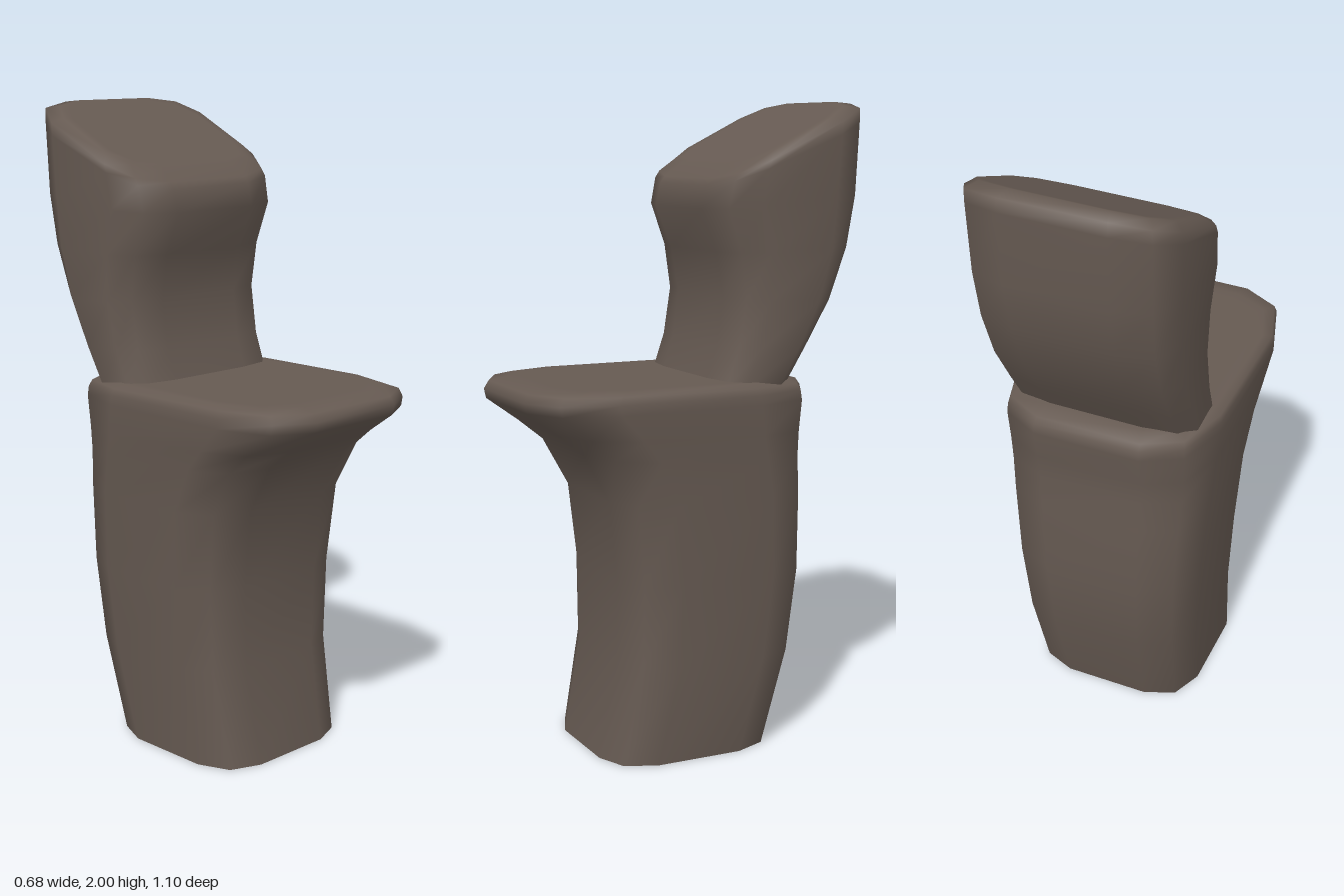
import * as THREE from 'three';

// One quarter of the chamfered section: [fraction of half width, fraction of half depth]
const CORNER = [[1, 0.5], [0.85, 0.86], [0.5, 1]];

// Twelve-sided outline, counter-clockwise seen from above
function outline() {
  const [a, b, c] = CORNER;
  const flip = (p, sx, sz) => [p[0] * sx, p[1] * sz];
  return [
    ...[c, b, a].map(p => flip(p, 1, 1)),
    ...[a, b, c].map(p => flip(p, 1, -1)),
    ...[c, b, a].map(p => flip(p, -1, -1)),
    ...[a, b, c].map(p => flip(p, -1, 1)),
  ];
}

// Skin through tilted rings: [halfWidth, frontZ, frontY, backZ, backY]
function loft(rings, material, name) {
  const section = outline(), n = section.length;
  const pos = [], index = [];
  const addRing = ([w, fz, fy, bz, by], scale = 1) => {
    for (const [u, v] of section) {
      const t = (1 - v * scale) / 2;
      pos.push(u * w * scale, fy + (by - fy) * t, fz + (bz - fz) * t);
    }
  };
  const first = rings[0], last = rings[rings.length - 1];
  rings.forEach(r => addRing(r));
  addRing(last, 0.9); // inner ring keeps the top face flat
  for (let r = 0; r < rings.length; r++) {
    for (let i = 0; i < n; i++) {
      const a = r * n + i, b = r * n + (i + 1) % n;
      index.push(a, b, b + n, a, b + n, a + n);
    }
  }
  // Top cap shares its rim, bottom cap has its own sharp rim
  const cap = (start, up) => {
    for (let i = 1; i < n - 1; i++) {
      if (up) index.push(start, start + i, start + i + 1);
      else index.push(start, start + i + 1, start + i);
    }
  };
  cap(rings.length * n, true);
  const bottom = pos.length / 3;
  addRing(first);
  cap(bottom, false);

  const geo = new THREE.BufferGeometry();
  geo.setAttribute('position', new THREE.Float32BufferAttribute(pos, 3));
  geo.setIndex(index);
  geo.computeVertexNormals();
  const mesh = new THREE.Mesh(geo, material);
  mesh.name = name;
  return mesh;
}

export function createModel() {
  const group = new THREE.Group();
  group.name = 'blockWithLeaningTop';
  const material = new THREE.MeshStandardMaterial({ color: 0x665a52 });

  // Tall curved body flaring into an overhanging front ledge
  group.add(loft([
    [0.275, 0.305, 0, -0.25, 0],
    [0.293, 0.25, 0.3, -0.33, 0.3],
    [0.308, 0.25, 0.56, -0.36, 0.56],
    [0.322, 0.277, 0.81, -0.358, 0.81],
    [0.33, 0.36, 0.96, -0.355, 0.92],
    [0.335, 0.44, 1.025, -0.362, 1.0],
    [0.34, 0.543, 1.1, -0.378, 1.1],
    [0.338, 0.55, 1.13, -0.374, 1.13],
    [0.333, 0.535, 1.155, -0.36, 1.15],
    [0.31, 0.48, 1.165, -0.31, 1.165],
  ], material, 'body'));

  // Backward-leaning upper block with a slanted top
  group.add(loft([
    [0.298, -0.05, 1.14, -0.285, 1.14],
    [0.302, -0.09, 1.26, -0.36, 1.26],
    [0.306, -0.11, 1.41, -0.445, 1.4],
    [0.31, -0.085, 1.55, -0.508, 1.56],
    [0.315, -0.033, 1.68, -0.54, 1.72],
    [0.318, -0.05, 1.75, -0.55, 1.95],
    [0.317, -0.065, 1.77, -0.55, 1.995],
    [0.29, -0.115, 1.81, -0.5, 2.0],
  ], material, 'upperBlock'));

  return group;
}
